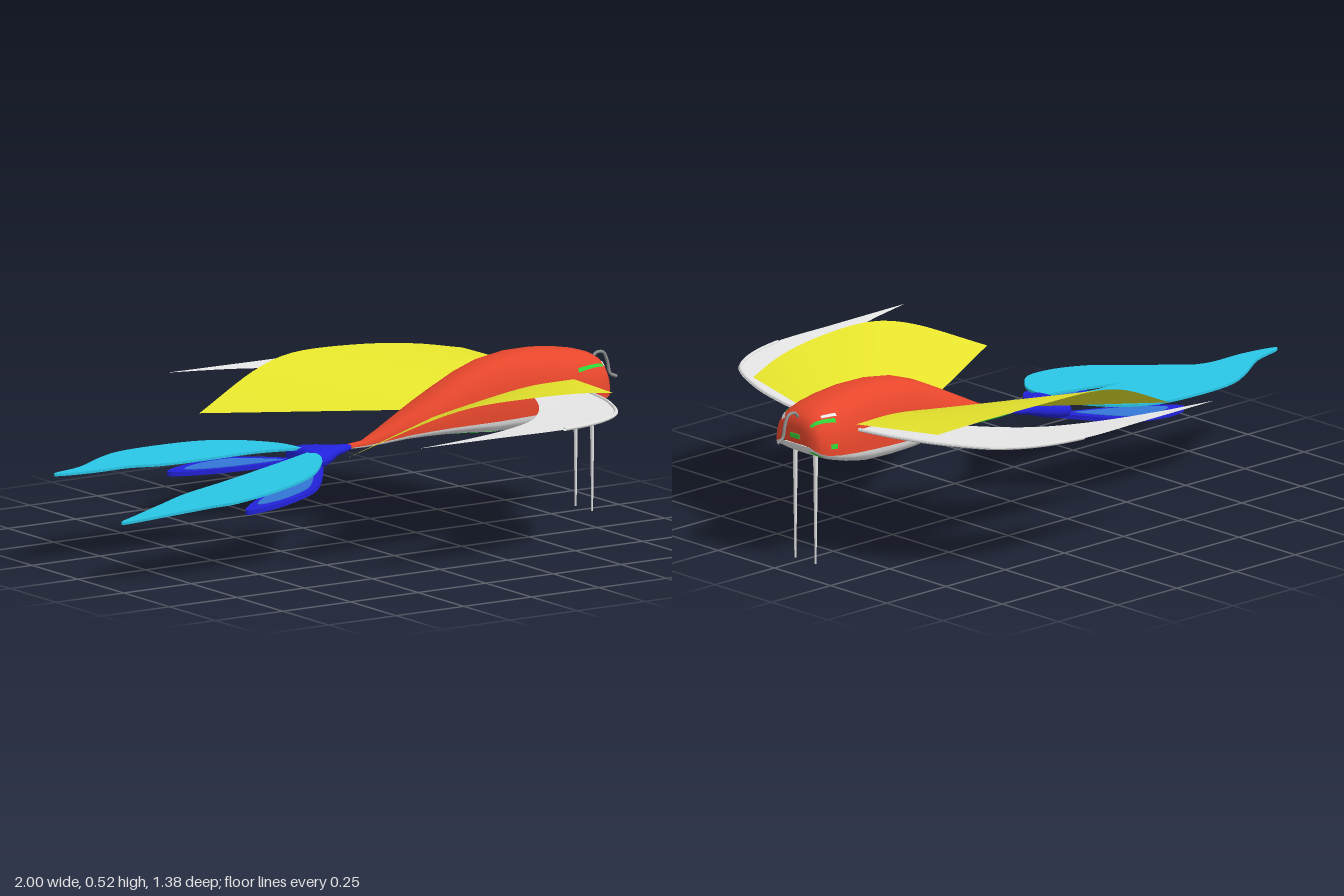
import * as THREE from 'three';

const mat = (name, color, side = THREE.FrontSide) => {
  const m = new THREE.MeshStandardMaterial({ color, side });
  m.name = name;
  return m;
};

// Surface through rows of points
function grid(rows) {
  const n = rows[0].length, index = [];
  for (let i = 0; i < rows.length - 1; i++)
    for (let j = 0; j < n - 1; j++) {
      const a = i * n + j, b = a + n;
      index.push(a, b, b + 1, a, b + 1, a + 1);
    }
  const g = new THREE.BufferGeometry();
  g.setAttribute('position', new THREE.Float32BufferAttribute(rows.flat(2), 3));
  g.setIndex(index);
  g.computeVertexNormals();
  return g;
}

// Evenly spaced points on a smooth curve
const smooth = (pts, n) => new THREE.CatmullRomCurve3(pts.map(p => new THREE.Vector3(...p)), false, 'centripetal')
  .getSpacedPoints(n);

const CENTRE = -0.01;
// Body stations: x, bottom, colour seam, top, half width
const BODY = [
  [0, 0.288, 0.291, 0.303, 0.008], [0.06, 0.287, 0.294, 0.308, 0.016],
  [0.12, 0.292, 0.303, 0.335, 0.034], [0.2, 0.3, 0.317, 0.375, 0.056],
  [0.27, 0.302, 0.325, 0.41, 0.075], [0.34, 0.301, 0.329, 0.445, 0.084],
  [0.42, 0.297, 0.331, 0.483, 0.092], [0.5, 0.29, 0.333, 0.51, 0.1],
  [0.6, 0.288, 0.338, 0.525, 0.108], [0.7, 0.293, 0.344, 0.525, 0.115],
  [0.78, 0.31, 0.35, 0.516, 0.119], [0.84, 0.328, 0.355, 0.505, 0.116],
  [0.88, 0.345, 0.36, 0.493, 0.11], [0.905, 0.36, 0.368, 0.478, 0.1],
  [0.917, 0.373, 0.377, 0.458, 0.085], [0.921, 0.384, 0.386, 0.438, 0.06], [0.922, 0.385, 0.386, 0.387, 0.06],
];
const TAIL = [
  [-0.172, 0.278, 0.279, 0.28, 0.002], [-0.17, 0.255, 0.278, 0.303, 0.08],
  [-0.155, 0.249, 0.278, 0.309, 0.092], [-0.125, 0.25, 0.28, 0.312, 0.085],
  [-0.09, 0.258, 0.282, 0.311, 0.06], [-0.05, 0.272, 0.288, 0.306, 0.033], [0.01, 0.284, 0.293, 0.303, 0.012],
];

function section([x, bot, mid, top, w], a0, a1, n, scale = 1) {
  return Array.from({ length: n + 1 }, (_, j) => {
    const a = a0 + (a1 - a0) * j / n, c = Math.cos(a), s = Math.sin(a);
    const h = s > 0 ? top - mid : mid - bot;
    return [x, mid + scale * Math.sign(s) * h * Math.abs(s) ** 0.88,
      CENTRE + scale * Math.sign(c) * w * Math.abs(c) ** 0.75];
  });
}
const loft = (stations, a0, a1, n) => grid(stations.map(s => section(s, a0, a1, n)));

// Interpolated body stations for patches lying on the skin
function stationAt(x) {
  const i = Math.max(1, BODY.findIndex(s => s[0] >= x));
  const p = BODY[i - 1], q = BODY[i], t = (x - p[0]) / (q[0] - p[0]);
  return p.map((v, k) => v + (q[k] - v) * t);
}
// Skin patch between two angles, turning by skew along its length
const patch = (x0, x1, a0, a1, skew = 0) => grid(Array.from({ length: 13 }, (_, i) => {
  const t = i / 12;
  return section(stationAt(x0 + (x1 - x0) * t), a0 + skew * t, a1 + skew * t, 6, 1.02);
}));

// Thin fin from an (x, z) outline, with its height set by a slope along x
function fin(outline, thickness, yAt) {
  const pts = new THREE.SplineCurve(outline.concat([outline[0]]).map(p => new THREE.Vector2(...p))).getPoints(60);
  const g = new THREE.ExtrudeGeometry(new THREE.Shape(pts), { depth: thickness, bevelEnabled: false });
  g.rotateX(Math.PI / 2);
  const p = g.attributes.position;
  for (let i = 0; i < p.count; i++) p.setY(i, p.getY(i) + yAt(p.getX(i)));
  g.computeVertexNormals();
  return g;
}

export function createModel() {
  const red = mat('red', 0xe8472c);
  const pale = mat('pale grey', 0xe8e8e8, THREE.DoubleSide);
  const grey = mat('dark grey', 0x909090);
  const yellow = mat('yellow', 0xe6e42c, THREE.DoubleSide);
  const cyan = mat('cyan', 0x2acaea);
  const blue = mat('blue', 0x2222dd);
  const midBlue = mat('mid blue', 0x3478d8);
  const green = mat('green', 0x30d838, THREE.DoubleSide);

  const model = new THREE.Group();
  const add = (name, geometry, material) => {
    const m = new THREE.Mesh(geometry, material);
    m.name = name;
    model.add(m);
    return m;
  };

  // Body, belly and tail base
  add('back', loft(BODY, 0, Math.PI, 28), red);
  add('belly', loft(BODY, Math.PI, 2 * Math.PI, 16), pale);
  add('tailBase', loft(TAIL, 0, 2 * Math.PI, 28), blue);

  // Eyes: a level green streak and a pale glint on each side
  const PI = Math.PI;
  add('leftEye', patch(0.79, 0.895, 0.61, 0.71, 0.19), green);
  add('leftEyeGlint', patch(0.898, 0.914, 0.85, 1.05), pale);
  add('rightEye', patch(0.84, 0.914, PI - 0.68, PI - 0.8, -0.2), green);
  add('rightEyeGlint', patch(0.83, 0.88, PI - 0.83, PI - 0.92, -0.12), pale);

  // Green flecks on snout, chin, belly and tail root
  add('snoutFleck', new THREE.BoxGeometry(0.004, 0.014, 0.04), green).position.set(0.922, 0.41, CENTRE);
  add('chinFleck', patch(0.885, 0.912, PI + 0.7, PI + 1.1), green);
  add('cheekFleck', patch(0.85, 0.875, PI - 0.22, PI - 0.12), green);
  add('bellyFleckFront', patch(0.6, 0.7, 1.58 * PI, 1.68 * PI), green);
  add('bellyFleckRear', patch(0.36, 0.52, 1.55 * PI, 1.66 * PI), green);
  add('tailRootFleck', patch(0.03, 0.2, PI + 0.05, PI + 1.1), green);

  for (const s of [1, -1]) {
    const side = s > 0 ? 'left' : 'right';

    // Large arched fin wing, ruled from body to outer edge
    const tipZ = s > 0 ? 0.38 : 0.43;
    const root = smooth([[0.77, 0.435, 0.09], [0.6, 0.43, 0.09], [0.42, 0.4, 0.075], [0.27, 0.37, 0.065]], 24);
    const outer = smooth([[0.7, 0.455, 0.41], [0.55, 0.478, 0.455], [0.35, 0.492, 0.488],
      [0.12, 0.49, 0.496], [-0.02, 0.46, 0.475], [-0.26, 0.358, tipZ]], 24);
    add(side + 'ArchedWing', grid(root.map((r, i) => Array.from({ length: 7 }, (_, j) => {
      const p = r.clone().lerp(outer[i], j / 6);
      return [p.x, p.y, s * p.z];
    }))), yellow);

    // Flat swept wing with a rounded leading edge
    const lead = smooth([[0.77, 0.418, 0.08], [0.74, 0.42, 0.25], [0.7, 0.424, 0.4], [0.61, 0.427, 0.57],
      [0.5, 0.428, 0.645], [0.34, 0.43, 0.686], [0.1, 0.432, 0.688], [-0.2, 0.434, 0.688]], 40);
    const trail = smooth([[0.6, 0.418, 0.08], [0.53, 0.418, 0.25], [0.43, 0.42, 0.4], [0.34, 0.422, 0.49],
      [0.2, 0.424, 0.565], [0, 0.43, 0.64], [-0.2, 0.434, 0.687]], 40);
    add(side + 'SweptWing', grid(lead.map((p, i) => [0, 0.5, 1].map(t => {
      const q = p.clone().lerp(trail[i], t);
      return [q.x, q.y, s * q.z];
    }))), pale);
    const rim = new THREE.CatmullRomCurve3(lead.slice(0, 25)
      .map(p => new THREE.Vector3(p.x - 0.006, p.y, s * (p.z - 0.004))));
    add(side + 'WingRim', new THREE.TubeGeometry(rim, 40, 0.006, 6), pale);

    // Lower tail fin with a lighter centre
    const low = [[-0.13, 0.05], [-0.25, 0.08], [-0.4, 0.13], [-0.515, 0.2], [-0.5, 0.235],
      [-0.4, 0.255], [-0.27, 0.225], [-0.16, 0.1]].map(([x, z]) => [x, s * z]);
    const inner = low.map(([x, z]) => [-0.33 + 0.72 * (x + 0.33), s * 0.165 + 0.72 * (z - s * 0.165)]);
    const drop = s > 0 ? 0.18 : 0.06;
    add(side + 'LowerTailFin', fin(low, 0.014, x => 0.267 + drop * (x + 0.13)), blue);
    add(side + 'LowerTailFinCentre', fin(inner, 0.018, x => 0.269 + drop * (x + 0.13)), midBlue);

    // Slender leg
    const leg = add(side + 'Leg', new THREE.CylinderGeometry(0.008, 0.003, 0.37, 10), pale);
    leg.position.set(0.878, 0.185, CENTRE + s * 0.045);
  }

  // Upper tail fins: one level, one drooping
  add('rightTailFin', fin([[-0.155, -0.025], [-0.3, -0.062], [-0.5, -0.06], [-0.65, -0.07], [-0.75, -0.1],
    [-0.87, -0.1], [-0.985, -0.118], [-0.99, -0.138], [-0.88, -0.17], [-0.76, -0.245], [-0.65, -0.295],
    [-0.5, -0.305], [-0.35, -0.288], [-0.25, -0.23], [-0.185, -0.15], [-0.16, -0.09]], 0.008, () => 0.308), cyan);
  add('leftTailFin', fin([[-0.155, 0.02], [-0.3, 0.04], [-0.5, 0.06], [-0.65, 0.068], [-0.75, 0.095],
    [-0.87, 0.13], [-0.938, 0.15], [-0.93, 0.17], [-0.8, 0.212], [-0.68, 0.25], [-0.6, 0.28],
    [-0.45, 0.282], [-0.3, 0.24], [-0.2, 0.15], [-0.16, 0.08]], 0.008, x => 0.305 + 0.134 * (x + 0.15)), cyan);

  // Curled feeler on the snout
  const feeler = new THREE.CatmullRomCurve3([[0.9, 0.42], [0.905, 0.46], [0.925, 0.483], [0.95, 0.48],
    [0.965, 0.45], [0.975, 0.412], [0.998, 0.4]].map(([x, y]) => new THREE.Vector3(x, y, CENTRE)));
  add('feeler', new THREE.TubeGeometry(feeler, 32, 0.005, 8), grey);

  return model;
}
